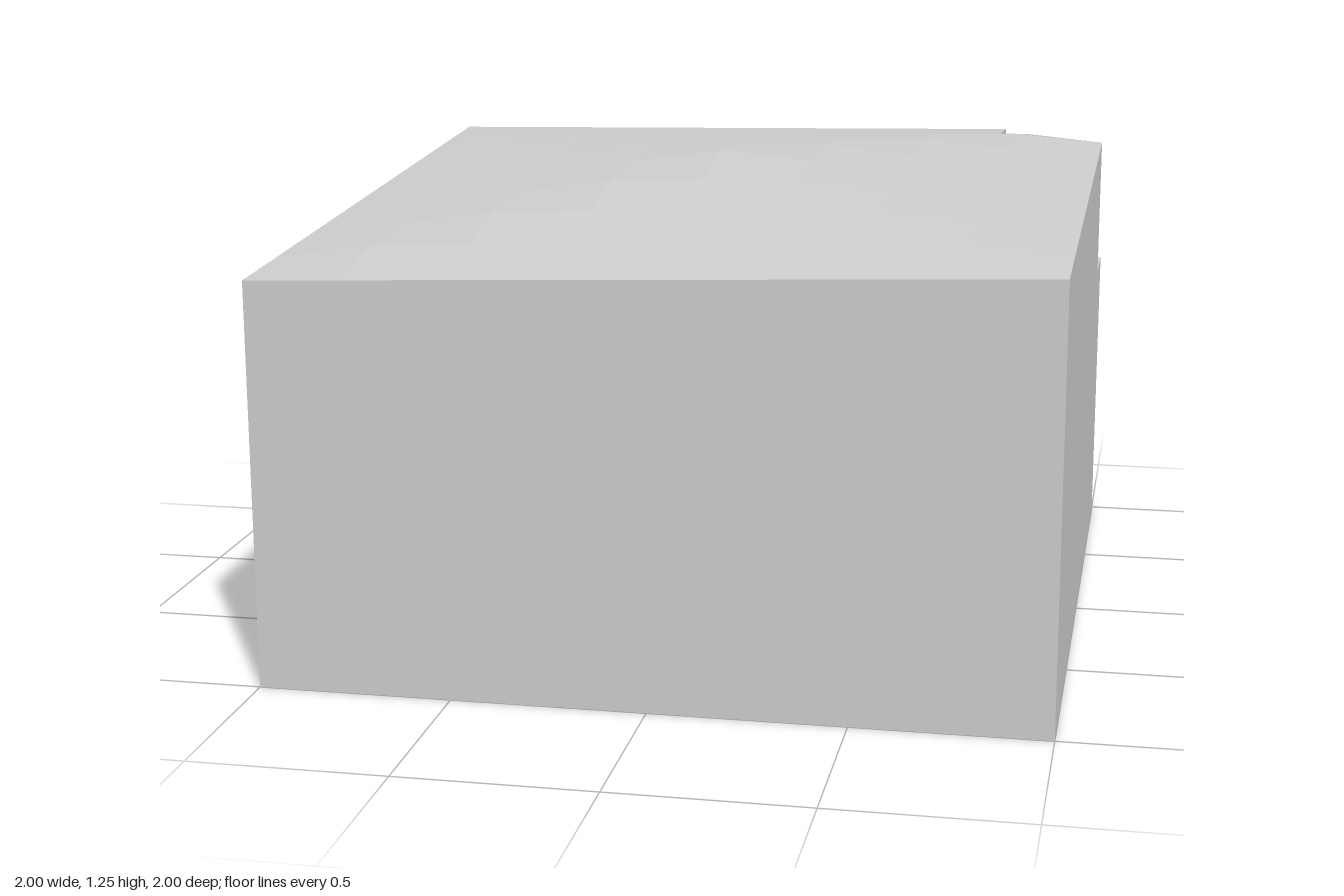
import * as THREE from 'three';

const CENTER = 1.25, STEP = 0.25;
const CORNER = { backLeft: 1.15, backRight: 1.193, frontLeft: 1.05, frontRight: 1.127 };
const NX = 0.7, NZ = -0.775, NY = 0.8; // corner notch limits

const lerp = THREE.MathUtils.lerp;

// Four-sided shallow pyramid through the corner heights and the peak
function peakHeight(x, z) {
  const t = Math.max(Math.abs(x), Math.abs(z));
  if (t < 1e-6) return CENTER;
  const u = (x / t + 1) / 2, v = (z / t + 1) / 2;
  const back = lerp(CORNER.backLeft, CORNER.backRight, u);
  const front = lerp(CORNER.frontLeft, CORNER.frontRight, u);
  return lerp(CENTER, lerp(back, front, v), t);
}

// Height on the triangulated grid, every cell split along the same diagonal
function height(x, z) {
  const x0 = Math.min(Math.floor((x + 1) / STEP), 7) * STEP - 1;
  const z0 = Math.min(Math.floor((z + 1) / STEP), 7) * STEP - 1;
  const u = (x - x0) / STEP, v = (z - z0) / STEP;
  const b = peakHeight(x0 + STEP, z0), c = peakHeight(x0, z0 + STEP);
  if (u + v <= 1) {
    const a = peakHeight(x0, z0);
    return a + (b - a) * u + (c - a) * v;
  }
  const d = peakHeight(x0 + STEP, z0 + STEP);
  return d + (c - d) * (1 - u) + (b - d) * (1 - v);
}

// Faces are corner loops, counter-clockwise from outside, one normal per face
function facesGeometry(faces) {
  const pos = [], nor = [], index = [];
  for (const f of faces) {
    const base = pos.length / 3;
    const p = f.map((q) => new THREE.Vector3(...q));
    const n = new THREE.Vector3();
    p.forEach((q, i) => n.add(q.clone().cross(p[(i + 1) % p.length])));
    n.normalize();
    p.forEach((q) => { pos.push(q.x, q.y, q.z); nor.push(n.x, n.y, n.z); });
    for (let i = 1; i < p.length - 1; i++) index.push(base, base + i, base + i + 1);
  }
  const g = new THREE.BufferGeometry();
  g.setAttribute('position', new THREE.Float32BufferAttribute(pos, 3));
  g.setAttribute('normal', new THREE.Float32BufferAttribute(nor, 3));
  g.setIndex(index);
  return g;
}

export function createModel() {
  const model = new THREE.Group();
  model.name = 'terrainBlock';
  const grey = new THREE.MeshStandardMaterial({ color: 0xcccccc, side: THREE.DoubleSide });
  grey.name = 'light grey';

  const add = (name, faces) => {
    const mesh = new THREE.Mesh(facesGeometry(faces), grey);
    mesh.name = name;
    model.add(mesh);
  };
  const top = (x, z) => [x, height(x, z), z];

  // Faceted top, with the cells at the notch trimmed
  const rects = [[0.5, NX, -1, -0.75], [NX, 0.75, NZ, -0.75], [0.75, 1, NZ, -0.75]];
  for (let i = 0; i < 8; i++) {
    for (let j = 0; j < 8; j++) {
      if (j === 0 && i >= 6) continue;
      const x = i * STEP - 1, z = j * STEP - 1;
      rects.push([x, x + STEP, z, z + STEP]);
    }
  }
  add('top', rects.filter((r) => !(r[0] === 0.5 && r[1] === 0.75 && r[2] === -1))
    .map(([x0, x1, z0, z1]) => [top(x1, z0), top(x0, z0), top(x0, z1), top(x1, z1)]));

  // Outer walls, open underneath
  add('frontWall', [[[-1, 0, 1], [1, 0, 1], top(1, 1), top(-1, 1)]]);
  add('leftSideWall', [[[-1, 0, -1], [-1, 0, 1], top(-1, 1), top(-1, -1)]]);
  add('rightSideWall', [
    [[1, 0, 1], [1, 0, NZ], top(1, NZ), top(1, 1)],
    [[1, 0, NZ], [1, 0, -1], [1, NY, -1], [1, NY, NZ]],
  ]);
  add('backWall', [
    [[NX, 0, -1], [-1, 0, -1], top(-1, -1), top(NX, -1)],
    [[1, 0, -1], [NX, 0, -1], [NX, NY, -1], [1, NY, -1]],
  ]);

  // Corner notch: floor and two inner walls
  add('notchFloor', [[[NX, NY, -1], [NX, NY, NZ], [1, NY, NZ], [1, NY, -1]]]);
  add('notchSideWall', [[[NX, NY, NZ], [NX, NY, -1], top(NX, -1), top(NX, NZ)]]);
  const xs = [NX, 0.75, 0.775, 1];
  add('notchRearWall', xs.slice(1).map((x, i) =>
    [[x, NY, NZ], [xs[i], NY, NZ], top(xs[i], NZ), top(x, NZ)]));

  return model;
}
